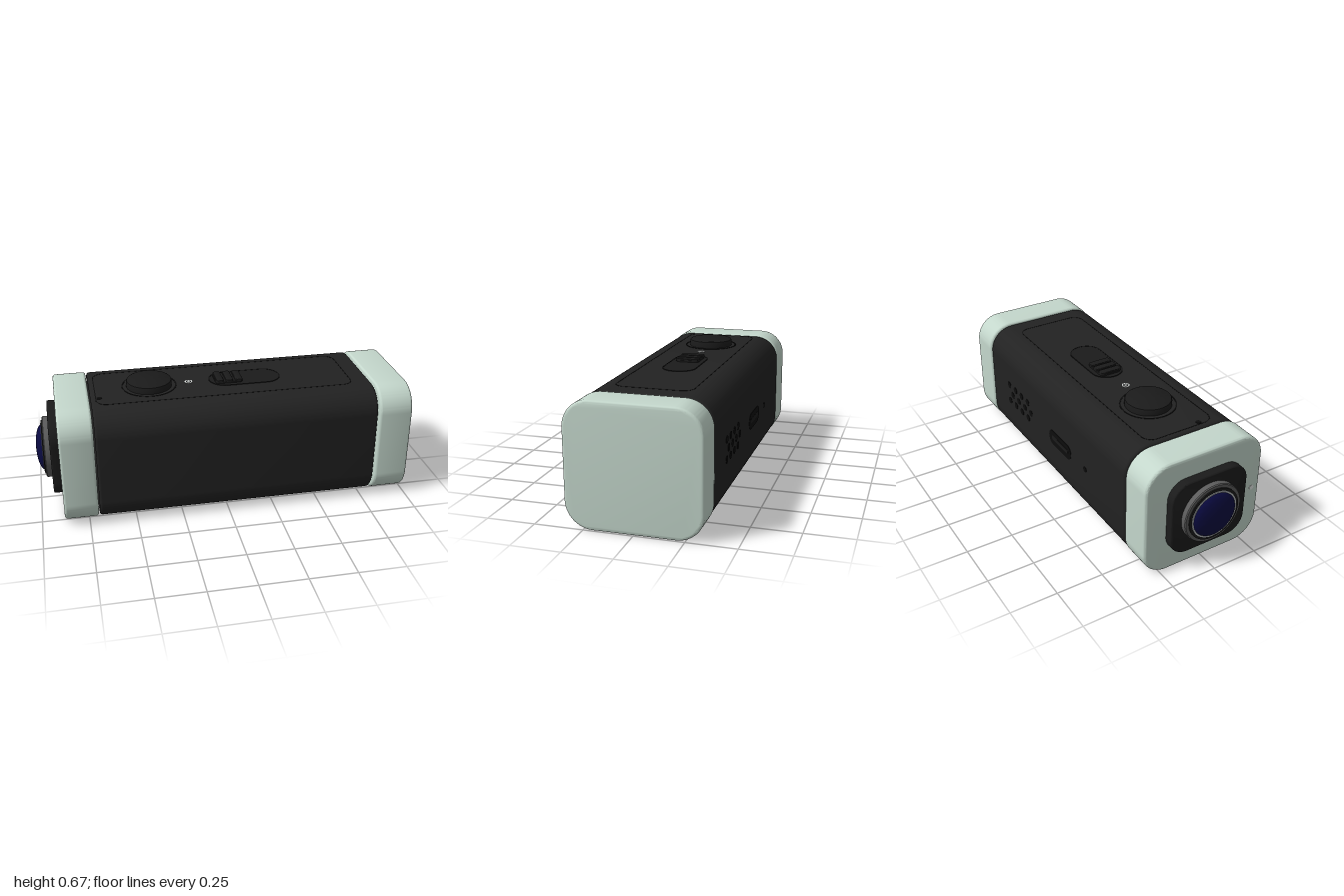
import * as THREE from 'three';
import { toCreasedNormals } from 'three/addons/utils/BufferGeometryUtils.js';

const mat = (name, color) => new THREE.MeshStandardMaterial({ name, color });

// Rounded rectangle centred on the origin
function roundedRect(w, h, r, Type = THREE.Shape) {
  const s = new Type(), x = w / 2, y = h / 2;
  s.moveTo(-x + r, -y);
  s.lineTo(x - r, -y);
  s.absarc(x - r, -y + r, r, -Math.PI / 2, 0);
  s.lineTo(x, y - r);
  s.absarc(x - r, y - r, r, 0, Math.PI / 2);
  s.lineTo(-x + r, y);
  s.absarc(-x + r, y - r, r, Math.PI / 2, Math.PI);
  s.lineTo(-x, -y + r);
  s.absarc(-x + r, -y + r, r, Math.PI, Math.PI * 1.5);
  return s;
}

// Rounded block of outer size w x h x depth, centred, with softened end edges
function block(w, h, depth, r, bevel) {
  const geo = new THREE.ExtrudeGeometry(roundedRect(w - 2 * bevel, h - 2 * bevel, r - bevel), {
    depth: depth - 2 * bevel, bevelEnabled: true, bevelSize: bevel,
    bevelThickness: bevel, bevelSegments: 4, curveSegments: 14,
  });
  geo.translate(0, 0, bevel - depth / 2);
  return toCreasedNormals(geo, 0.6);
}

// Thin plate rising from z = 0
const plate = (shape, t) =>
  toCreasedNormals(new THREE.ExtrudeGeometry(shape, { depth: t, bevelEnabled: false, curveSegments: 16 }), 0.6);

// Outline of a rounded rectangle as a flat frame
function frame(w, h, r, line) {
  const s = roundedRect(w, h, r);
  s.holes.push(roundedRect(w - 2 * line, h - 2 * line, r - line, THREE.Path));
  return s;
}

function disc(r, hole = 0) {
  const s = new THREE.Shape().absarc(0, 0, r, 0, Math.PI * 2);
  if (hole) s.holes.push(new THREE.Path().absarc(0, 0, hole, 0, Math.PI * 2));
  return s;
}

export function createModel() {
  const root = new THREE.Group();
  root.name = 'actionCamera';
  const shell = mat('matteBlack', 0x222222);
  const control = mat('controlBlack', 0x1b1b1b);
  const recess = mat('recessBlack', 0x0d0d0d);
  const mint = mat('paleMint', 0xc4d7cc);
  const grey = mat('lensGrey', 0x5c5c5c);
  const silver = mat('silver', 0xb8bcc0);
  const glass = mat('navyGlass', 0x0a0a40);
  const white = mat('indicatorWhite', 0xeef2f0);

  const midY = 0.3175, topY = 0.632, backZ = -0.3395;
  function add(name, geo, material, x, y, z, parent = root) {
    const m = new THREE.Mesh(geo, material);
    m.name = name;
    m.position.set(x, y, z);
    parent.add(m);
    return m;
  }
  const onTop = (name, shape, material, x, z, t = 0.002) =>
    add(name, plate(shape, t).rotateX(-Math.PI / 2), material, x, topY, z);
  const onBack = (name, shape, material, x, y, t = 0.002) =>
    add(name, plate(shape, t).rotateY(Math.PI), material, x, y, backZ);

  // Main body and the two end caps
  add('body', block(0.679, 0.629, 1.503, 0.135, 0.015).rotateY(Math.PI / 2), shell, 0.0565, midY, 0);
  add('lensCap', block(0.685, 0.635, 0.179, 0.138, 0.015).rotateY(Math.PI / 2), mint, -0.7905, midY, 0);
  add('endCap', block(0.685, 0.635, 0.183, 0.138, 0.015).rotateY(Math.PI / 2), mint, 0.9085, midY, 0);

  // Panel seams on the top and underside
  onTop('topPanelSeam', frame(1.38, 0.4, 0.06, 0.005), recess, 0.02, 0, 0.001);
  add('bottomPanelSeam', plate(frame(1.38, 0.4, 0.06, 0.005), 0.001).rotateX(Math.PI / 2),
    recess, 0.02, 0.003, 0);

  // Round shutter button in its ring
  onTop('buttonRing', disc(0.148, 0.141), recess, -0.375, 0);
  const buttonProfile = [[0, 0], [0.122, 0], [0.122, 0.026], [0.119, 0.034], [0.111, 0.038], [0, 0.038]]
    .map(p => new THREE.Vector2(...p));
  add('shutterButton', toCreasedNormals(new THREE.LatheGeometry(buttonProfile, 48), 0.6),
    control, -0.375, topY, 0);

  // Status light and microphone hole
  onTop('statusRing', disc(0.021, 0.014), white, -0.16, 0);
  onTop('statusDot', disc(0.008), white, -0.16, 0);
  onTop('topMicrophone', disc(0.014), recess, -0.65, 0.115);

  // Ribbed slide switch in a pill-shaped track
  onTop('switchTrack', roundedRect(0.395, 0.18, 0.089), control, 0.148, 0);
  onTop('switchTrackEdge', frame(0.395, 0.18, 0.089, 0.006), recess, 0.148, 0, 0.003);
  const slider = new THREE.Group();
  slider.name = 'slideSwitch';
  root.add(slider);
  add('switchBase', block(0.15, 0.126, 0.012, 0.025, 0.002).rotateX(Math.PI / 2), control, 0.055, topY + 0.005, 0, slider);
  for (let i = -1; i <= 1; i++) {
    add('switchRib', block(0.04, 0.126, 0.016, 0.012, 0.004).rotateX(Math.PI / 2),
      control, 0.055 + i * 0.052, topY + 0.012, 0, slider);
  }

  // Speaker grille: three staggered rows of holes on the back
  for (let row = -1; row <= 1; row++) {
    for (let i = 0; i < 4; i++) {
      onBack('speakerHole', disc(0.02), recess, 0.58 - i * 0.078 - (row === 0 ? 0.039 : 0), midY + row * 0.052);
    }
  }

  // Charging port and small back microphone
  onBack('port', roundedRect(0.245, 0.09, 0.044), recess, -0.04, 0.305);
  onBack('portTongue', roundedRect(0.18, 0.026, 0.012), control, -0.04, 0.305, 0.003);
  onBack('backMicrophone', disc(0.016), recess, -0.31, 0.305);

  // Lens mount, stepped barrel and glass dome, facing -x
  add('lensMount', block(0.44, 0.415, 0.05, 0.1, 0.008).rotateY(Math.PI / 2), control, -0.9, midY, 0);
  const turned = (name, pts, material) => add(name,
    toCreasedNormals(new THREE.LatheGeometry(pts.map(p => new THREE.Vector2(...p)), 64), 0.6)
      .rotateZ(Math.PI / 2), material, 0, midY, 0);
  turned('lensBarrel', [[0.165, 0.92], [0.165, 0.952], [0.161, 0.957], [0.145, 0.957]], grey);
  turned('lensInnerRing', [[0.145, 0.95], [0.145, 0.963], [0.13, 0.963]], control);
  turned('lensTrim', [[0.131, 0.955], [0.131, 0.966], [0.122, 0.966]], silver);
  const dome = [];
  for (let i = 0; i <= 10; i++) {
    const a = (i / 10) * Math.PI / 2;
    dome.push([0.124 * Math.cos(a), 0.96 + 0.04 * Math.sin(a)]);
  }
  turned('lensGlass', dome, glass);

  // Indicator light beside the lens
  add('frontIndicator', plate(disc(0.013), 0.003).rotateY(-Math.PI / 2), white, -0.879, 0.31, 0.295);

  return root;
}
